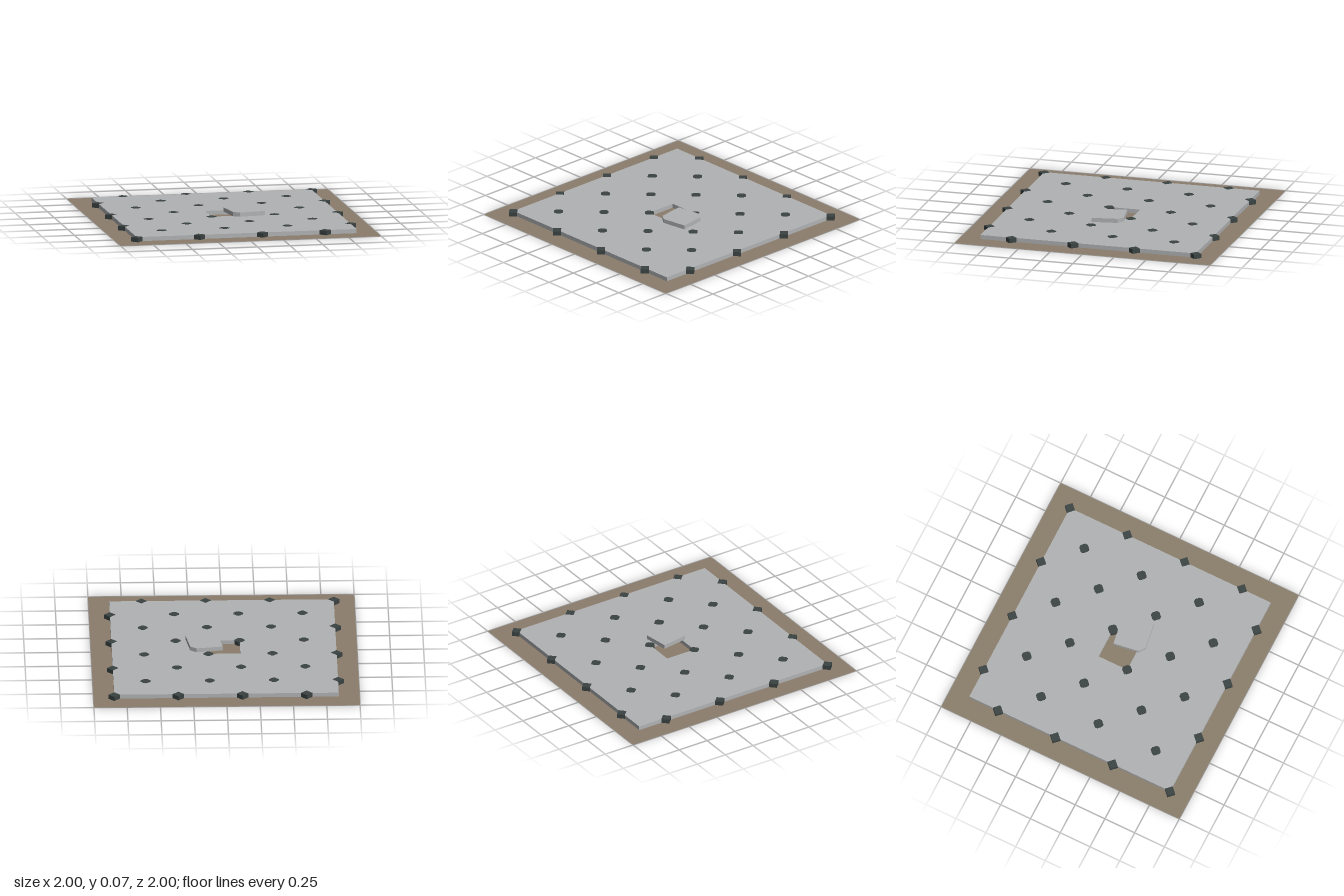
import * as THREE from 'three';

const N = 7;            // tiles per side
const PITCH = 0.241;    // tile spacing
const HALF = PITCH / 2;
const CUT = 0.042;      // clipped tile corner
const THICK = 0.032;
const DOT = 0.043;      // half diagonal of the inset diamonds

const stone = new THREE.MeshStandardMaterial({ name: 'paleStone', color: 0xb0b2b4 });
const slate = new THREE.MeshStandardMaterial({ name: 'darkSlate', color: 0x3a4242 });
const earth = new THREE.MeshStandardMaterial({ name: 'earth', color: 0x8b7d6b, side: THREE.DoubleSide });

// Upright prism over an outline of [x, z] points, standing on y = 0
function prism(points, height) {
  const shape = new THREE.Shape(points.map(([x, z]) => new THREE.Vector2(x, -z)));
  return new THREE.ExtrudeGeometry(shape, { depth: height, bevelEnabled: false }).rotateX(-Math.PI / 2);
}

export function createModel() {
  const group = new THREE.Group();
  const add = (name, geometry, material, x, y, z, turn = 0) => {
    const mesh = new THREE.Mesh(geometry, material);
    mesh.name = name;
    mesh.position.set(x, y, z);
    mesh.rotation.y = turn;
    group.add(mesh);
  };

  // Bare ground sheet
  add('groundSheet', new THREE.PlaneGeometry(2, 2).rotateX(-Math.PI / 2), earth, 0, 0, 0);

  // Square tile with two opposite corners clipped
  const h = HALF;
  const tile = prism([
    [-h, -h], [h - CUT, -h], [h, -h + CUT], [h, h], [-h + CUT, h], [-h, h - CUT],
  ], THICK);

  // Paving: neighbours are quarter-turned so the clipped corners meet; the centre is left open
  const mid = (N - 1) / 2;
  for (let i = 0; i < N; i++) {
    for (let j = 0; j < N; j++) {
      if (i === mid && j === mid) continue;
      add('pavingTile', tile, stone, (i - mid) * PITCH, 0.001, (j - mid) * PITCH,
        (i + j) % 2 ? Math.PI / 2 : 0);
    }
  }

  // The lifted centre tile lies askew on its neighbours
  add('looseTile', tile, stone, 0.148, 0.033, 0.04, 0.155);

  // Insets: full diamonds around the rim, blunt-tipped ones inside
  const diamond = prism([[DOT, 0], [0, DOT], [-DOT, 0], [0, -DOT]], THICK + 0.001);
  const a = 0.037, b = 0.011;
  const blunt = prism([
    [a, -b], [a, b], [b, a], [-b, a], [-a, b], [-a, -b], [-b, -a], [b, -a],
  ], THICK + 0.001);
  for (let i = 0; i <= N; i++) {
    for (let j = 0; j <= N; j++) {
      if ((i + j) % 2 === 0) continue;
      const rim = i === 0 || j === 0 || i === N || j === N;
      add(rim ? 'rimInset' : 'inset', rim ? diamond : blunt, slate,
        (i - N / 2) * PITCH, 0.001, (j - N / 2) * PITCH);
    }
  }

  return group;
}
